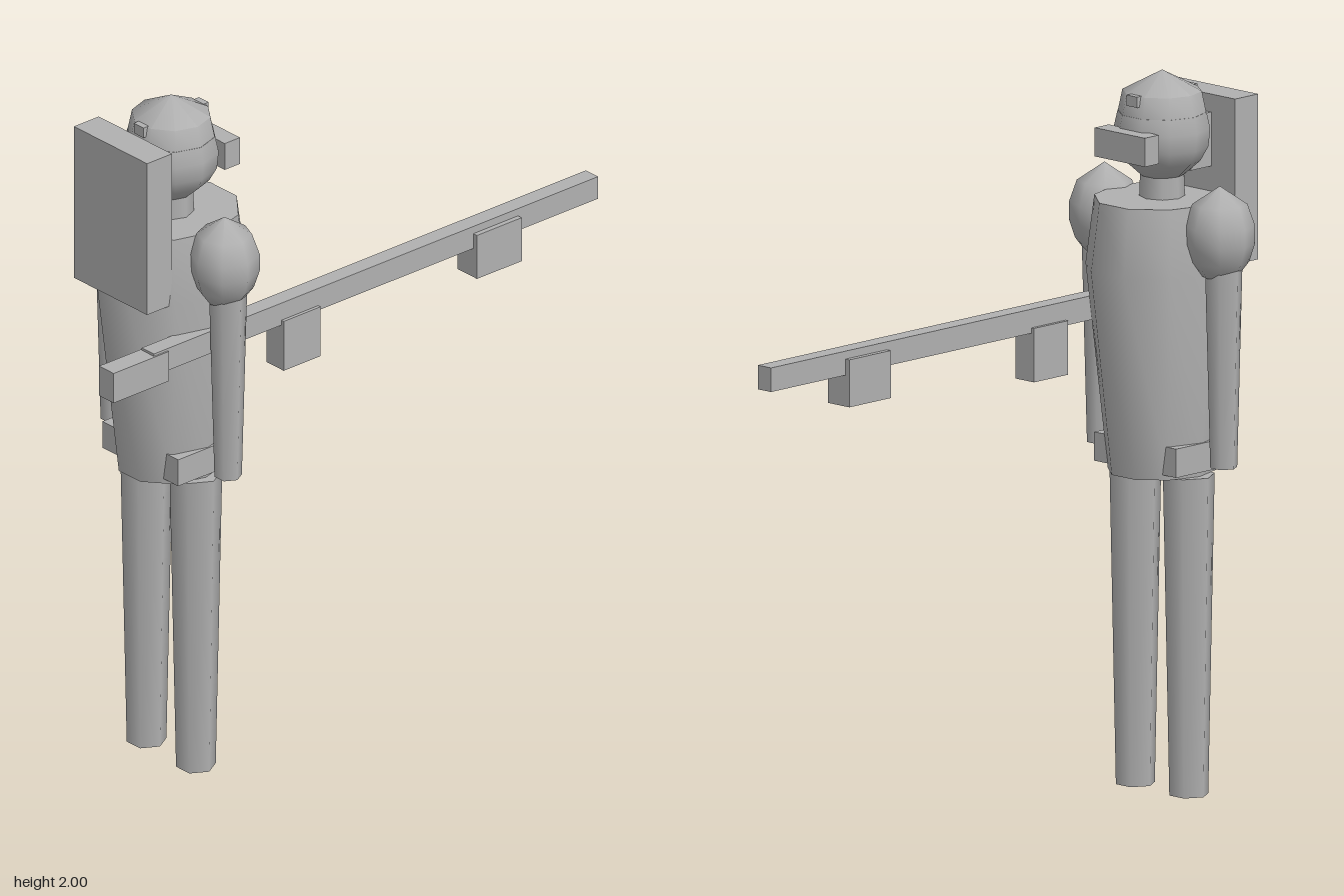
import * as THREE from 'three';
import { toCreasedNormals } from 'three/addons/utils/BufferGeometryUtils.js';

export function createModel() {
  const model = new THREE.Group();
  const gray = new THREE.MeshStandardMaterial({ color: 0xb0b0b0 });
  gray.name = 'plain gray';
  const bodyZ = 0.49;

  const add = (name, geometry, x = 0, y = 0, z = 0) => {
    const mesh = new THREE.Mesh(geometry, gray);
    mesh.name = name;
    mesh.position.set(x, y, z);
    model.add(mesh);
    return mesh;
  };

  // Box given by its lower and upper limits on each axis
  const box = (name, [x0, x1], [y0, y1], [z0, z1]) =>
    add(name, new THREE.BoxGeometry(x1 - x0, y1 - y0, z1 - z0),
      (x0 + x1) / 2, (y0 + y1) / 2, (z0 + z1) / 2);

  // Turned part around the body axis, profile runs bottom to top
  const turned = (name, profile, sides, start, x = 0) => {
    const points = profile.map(([r, y]) => new THREE.Vector2(r, y));
    const lathe = new THREE.LatheGeometry(points, sides, start);
    return add(name, toCreasedNormals(lathe, 0.95), x, 0, bodyZ);
  };

  // Six-sided tapered limb with corners on the x axis
  const limb = (name, x, y0, y1, rBottom, rTop) => {
    const geo = new THREE.CylinderGeometry(rTop, rBottom, y1 - y0, 6);
    geo.rotateY(Math.PI / 2);
    return add(name, geo, x, (y0 + y1) / 2, bodyZ);
  };

  // Torso, neck, head and helmet
  const decagon = Math.PI / 10;
  turned('torso', [[0, 0.89], [0.142, 0.89], [0.2, 1.46], [0.177, 1.65], [0, 1.65]], 10, decagon)
    .scale.z = 1.12;
  add('neck', new THREE.CylinderGeometry(0.06, 0.065, 0.14, 8), 0, 1.64, bodyZ);
  turned('head', [[0, 1.69], [0.06, 1.71], [0.105, 1.75], [0.127, 1.79], [0.132, 1.84],
    [0.122, 1.885], [0, 1.885]], 10, decagon);
  turned('helmet', [[0, 1.88], [0.122, 1.88], [0.109, 1.943], [0, 2]], 10, decagon);

  // Visor, face box and the two helmet clips
  box('visor', [-0.095, 0.095], [1.77, 1.85], [0.325, 0.38]);
  box('faceBox', [-0.06, 0.06], [1.72, 1.87], [0.54, 0.625]);
  box('helmetClip', [-0.02, 0.02], [1.915, 1.945], [0.372, 0.4]);
  box('helmetClip', [-0.02, 0.02], [1.915, 1.945], [0.58, 0.608]);

  // Flat pack
  box('pack', [-0.15, 0.15], [1.46, 1.92], [0.62, 0.71]);

  // Mirrored shoulders, arms, legs and hip pouches
  for (const side of [-1, 1]) {
    turned('shoulder', [[0, 1.45], [0.05, 1.46], [0.08, 1.5], [0.096, 1.55], [0.096, 1.6],
      [0.075, 1.66], [0, 1.71]], 8, 0, side * 0.218);
    limb('arm', side * 0.233, 0.93, 1.5, 0.038, 0.053);
    limb('leg', side * 0.101, 0, 0.89, 0.055, 0.073);
    box('hipPouch', side < 0 ? [-0.155, -0.095] : [0.095, 0.155], [0.905, 0.985], [0.385, 0.602]);
  }

  // Long bar with stock, magazine and front block
  box('barrel', [0.15, 0.2], [1.3, 1.367], [-0.88, 0.73]);
  box('stock', [0.145, 0.205], [1.27, 1.36], [0.68, 0.88]);
  box('magazine', [0.14, 0.21], [1.165, 1.315], [0.135, 0.268]);
  box('frontBlock', [0.135, 0.215], [1.213, 1.345], [-0.59, -0.428]);

  return model;
}
